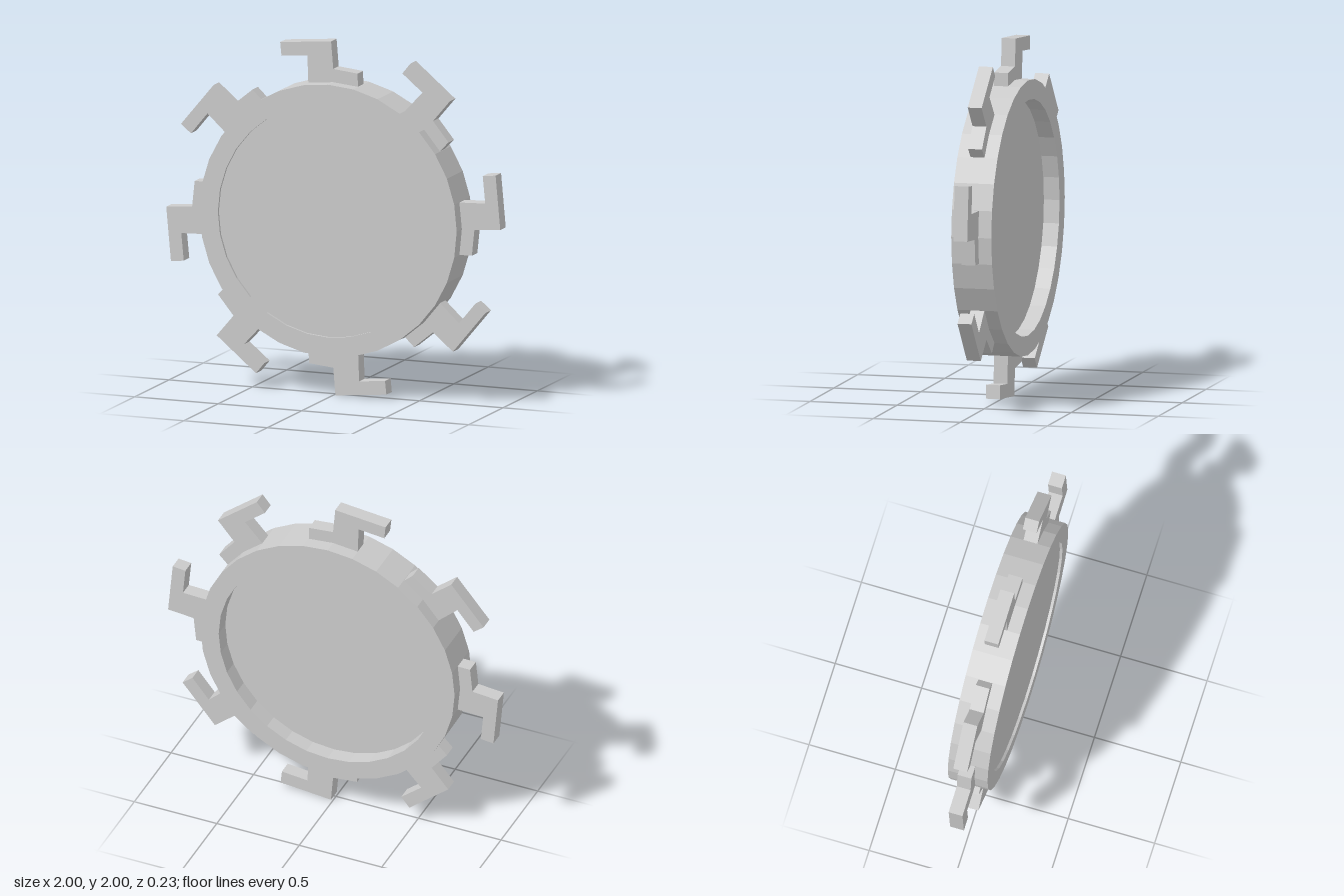
import * as THREE from 'three';

const RIM = 0.77, INNER = 0.66, HALF = 0.115;

export function createModel() {
  const model = new THREE.Group();
  const material = new THREE.MeshStandardMaterial({ color: 0xcccccc, flatShading: true });

  // Wheel body: rim with a shallow front recess and a deep back recess
  const profile = [
    [0, -0.025], [INNER, -0.025], [INNER, -HALF], [RIM, -HALF],
    [RIM, HALF], [INNER, HALF], [INNER, 0.1], [0, 0.1],
  ].map(([r, z]) => new THREE.Vector2(r, z));
  const body = new THREE.Mesh(new THREE.LatheGeometry(profile, 32).rotateX(Math.PI / 2), material);
  body.name = 'wheelBody';
  body.position.y = 1;
  model.add(body);

  // Hooked tooth outline, its foot buried in the rim
  const outline = [
    [-0.148, 0.72], [0.148, 0.72], [0.146, 0.83], [0, 0.845],
    [-0.013, 1.0], [-0.318, 0.972], [-0.31, 0.895], [-0.155, 0.91],
  ].map(([x, y]) => new THREE.Vector2(x, y));
  const toothGeometry = new THREE.ExtrudeGeometry(new THREE.Shape(outline), { depth: 0.08, bevelEnabled: false });
  toothGeometry.translate(0, 0, -0.04);

  // Eight teeth around the rim
  const teeth = new THREE.Group();
  teeth.name = 'teeth';
  teeth.position.y = 1;
  for (let i = 0; i < 8; i++) {
    const tooth = new THREE.Mesh(toothGeometry, material);
    tooth.name = `tooth${i + 1}`;
    tooth.rotation.z = (i * Math.PI) / 4;
    teeth.add(tooth);
  }
  model.add(teeth);
  return model;
}
